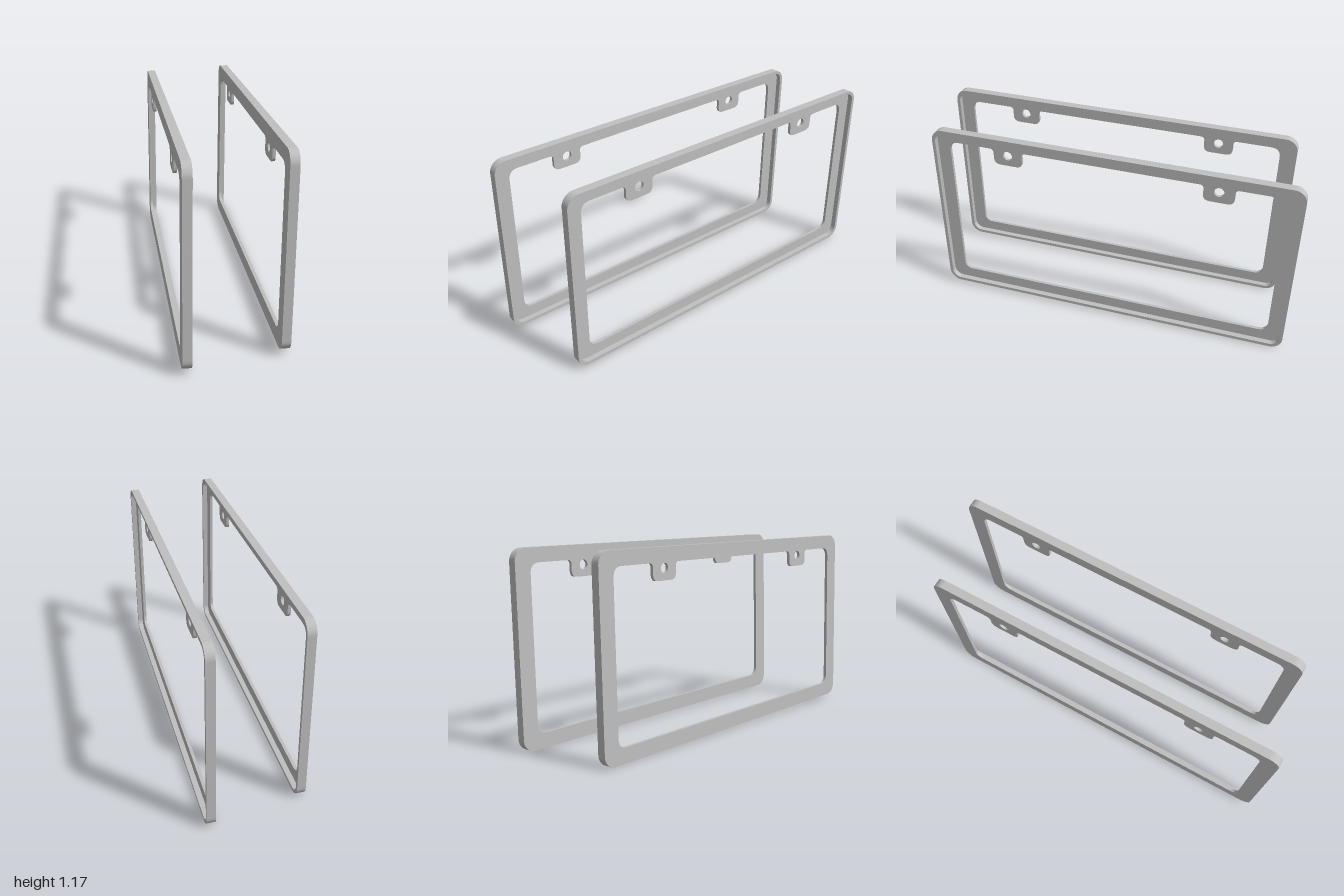
import * as THREE from 'three';
import { toCreasedNormals } from 'three/addons/utils/BufferGeometryUtils.js';

const W = 2.23, H = 1.145, DEPTH = 0.052, PLATE = 0.019;
const TAB_X = 0.638, TAB_HALF = 0.09, TAB_DROP = 0.1;

// Rounded rectangle outline, centred on the origin
function roundedRect(path, w, h, r) {
  const x = w / 2, y = h / 2;
  path.moveTo(-x + r, -y);
  path.lineTo(x - r, -y);
  path.absarc(x - r, -y + r, r, -Math.PI / 2, 0);
  path.absarc(x - r, y - r, r, 0, Math.PI / 2);
  path.absarc(-x + r, y - r, r, Math.PI / 2, Math.PI);
  path.absarc(-x + r, -y + r, r, Math.PI, Math.PI * 1.5);
  return path;
}

// Opening whose upper edge drops around the two mounting tabs
function openingPath() {
  const x = W / 2 - 0.1, b = -H / 2 + 0.09, t = H / 2 - 0.085;
  const r = 0.06, f = 0.025, c = 0.04, low = t - TAB_DROP;
  const p = new THREE.Path();
  p.moveTo(-x + r, b);
  p.lineTo(x - r, b);
  p.quadraticCurveTo(x, b, x, b + r);
  p.lineTo(x, t - r);
  p.quadraticCurveTo(x, t, x - r, t);
  for (const cx of [TAB_X, -TAB_X]) {
    const e = cx + TAB_HALF, s = cx - TAB_HALF;
    p.lineTo(e + f, t);
    p.quadraticCurveTo(e, t, e, t - f);
    p.lineTo(e, low + c);
    p.quadraticCurveTo(e, low, e - c, low);
    p.lineTo(s + c, low);
    p.quadraticCurveTo(s, low, s, low + c);
    p.lineTo(s, t - f);
    p.quadraticCurveTo(s, t, s - f, t);
  }
  p.lineTo(-x + r, t);
  p.quadraticCurveTo(-x, t, -x, t - r);
  p.lineTo(-x, b + r);
  p.quadraticCurveTo(-x, b, -x + r, b);
  return p;
}

function extrude(shape, depth, z) {
  const geo = new THREE.ExtrudeGeometry(shape, { depth, bevelEnabled: false, curveSegments: 10 });
  geo.translate(0, 0, z);
  return toCreasedNormals(geo, 0.6);
}

export function createModel() {
  const grey = new THREE.MeshStandardMaterial({ color: 0xbfbfbf });
  grey.name = 'grey';

  // Face plate with opening, tabs and screw holes
  const face = roundedRect(new THREE.Shape(), W, H, 0.075);
  face.holes.push(openingPath());
  for (const cx of [-TAB_X, TAB_X]) {
    face.holes.push(new THREE.Path().absarc(cx, H / 2 - 0.117, 0.029, 0, Math.PI * 2));
  }
  const faceGeo = extrude(face, PLATE, DEPTH / 2 - PLATE);

  // Rim standing behind the outer edge of the plate
  const rim = roundedRect(new THREE.Shape(), W, H, 0.075);
  rim.holes.push(roundedRect(new THREE.Path(), W - 0.04, H - 0.04, 0.055));
  const rimGeo = extrude(rim, DEPTH - PLATE, -DEPTH / 2);

  // Two identical frames, one behind the other
  const model = new THREE.Group();
  model.name = 'plateFrames';
  for (const [name, side] of [['frontFrame', 1], ['rearFrame', -1]]) {
    const frame = new THREE.Group();
    frame.name = name;
    const plate = new THREE.Mesh(faceGeo, grey);
    plate.name = 'facePlate';
    const lip = new THREE.Mesh(rimGeo, grey);
    lip.name = 'backRim';
    frame.add(plate, lip);
    frame.rotation.set(-0.01, -0.707, 0.0113, 'YXZ');
    frame.position.set(-0.137 * side, 0.586, 0.245 * side);
    model.add(frame);
  }

  // Stand on the ground
  model.updateMatrixWorld(true);
  const low = new THREE.Box3().setFromObject(model, true).min.y;
  model.children.forEach((f) => { f.position.y -= low; });
  return model;
}
